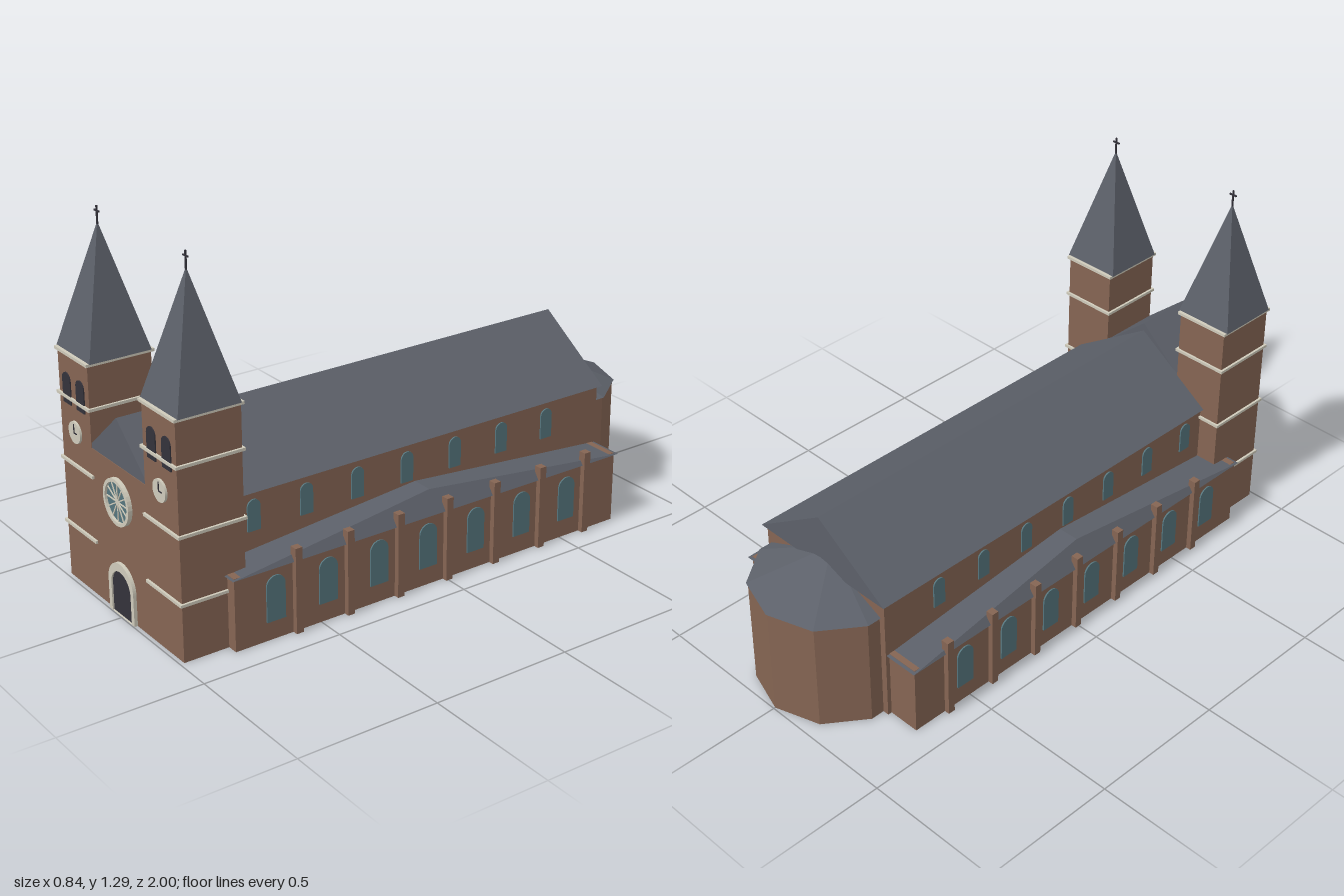
import * as THREE from 'three';

const material = (name, color) => {
  const m = new THREE.MeshStandardMaterial({ color });
  m.name = name;
  return m;
};

export function createModel() {
  const model = new THREE.Group();
  model.name = 'church';
  const brick = material('brick', 0x856553);
  const slate = material('slate', 0x5c6069);
  const stone = material('pale stone', 0xcfcbbb);
  const glass = material('window glass', 0x55757d);
  const dark = material('dark openings', 0x34323b);

  const add = (name, geometry, mat, x = 0, y = 0, z = 0, parent = model) => {
    const mesh = new THREE.Mesh(geometry, mat);
    mesh.name = name;
    mesh.position.set(x, y, z);
    parent.add(mesh);
    return mesh;
  };
  // Box given by its limits on each axis
  const box = (name, mat, x0, x1, y0, y1, z0, z1, parent) =>
    add(name, new THREE.BoxGeometry(x1 - x0, y1 - y0, z1 - z0), mat,
      (x0 + x1) / 2, (y0 + y1) / 2, (z0 + z1) / 2, parent);
  const extrude = (shape, depth) =>
    new THREE.ExtrudeGeometry(shape, { depth, bevelEnabled: false, curveSegments: 16 });
  // Round-headed outline standing on y = 0
  const arch = (width, height, Type = THREE.Shape) => {
    const r = width / 2;
    const s = new Type();
    s.moveTo(-r, 0);
    s.lineTo(r, 0);
    s.lineTo(r, height - r);
    s.absarc(0, height - r, r, 0, Math.PI, false);
    s.lineTo(-r, 0);
    return s;
  };
  // Triangular prism running along z
  const gable = (half, height, length) => {
    const s = new THREE.Shape();
    s.moveTo(-half, 0);
    s.lineTo(half, 0);
    s.lineTo(0, height);
    s.closePath();
    return extrude(s, length);
  };

  const front = 0.985, back = 0.755, towerZ = 0.87, towerX = 0.264;

  // Nave and its roof
  box('nave walls', brick, -0.283, 0.283, 0, 0.466, -0.755, 0.76);
  add('nave roof', gable(0.296, 0.196, 1.528), slate, 0, 0.465, -0.768);

  // Aisles with a low hipped roof whose short ridge runs across
  box('aisle walls', brick, -0.4, 0.4, 0, 0.255, -0.74, 0.822);
  const hip = new THREE.BoxGeometry(0.82, 0.07, 1.584);
  const hp = hip.attributes.position;
  for (let i = 0; i < hp.count; i++) {
    if (hp.getY(i) > 0) {
      hp.setX(i, Math.sign(hp.getX(i)) * 0.36);
      hp.setZ(i, 0);
    }
  }
  const hipFlat = hip.toNonIndexed();
  hipFlat.computeVertexNormals();
  add('aisle roof', hipFlat, slate, 0, 0.287, 0.04);

  // Polygonal apse
  const apseWall = new THREE.CylinderGeometry(0.274, 0.274, 0.4, 10).toNonIndexed();
  apseWall.computeVertexNormals();
  add('apse wall', apseWall, brick, 0, 0.2, -0.72).rotation.y = Math.PI;
  const apseCone = new THREE.ConeGeometry(0.28, 0.12, 10).toNonIndexed();
  apseCone.computeVertexNormals();
  add('apse roof', apseCone, slate, 0, 0.461, -0.72).rotation.y = Math.PI;

  // Buttresses and side windows, mirrored
  const aisleWindow = extrude(arch(0.07, 0.158), 0.005);
  const upperWindow = extrude(arch(0.048, 0.108), 0.005);
  for (const side of [-1, 1]) {
    for (let i = 0; i < 7; i++) {
      add('buttress', new THREE.BoxGeometry(0.028, 0.3, 0.026), brick,
        side * 0.405, 0.15, 0.594 - i * 0.199);
      const z = 0.672 - i * 0.199;
      add('aisleWindow', aisleWindow, glass, side * 0.4, 0.066, z).rotation.y = side * Math.PI / 2;
      add('upperWindow', upperWindow, glass, side * 0.283, 0.33, z).rotation.y = side * Math.PI / 2;
    }
  }

  // West front between the towers
  box('facade wall', brick, -0.168, 0.168, 0, 0.53, back, front);
  add('facade gable', gable(0.186, 0.162, 0.225), slate, 0, 0.53, back + 0.003);

  // Twin towers
  const spire = new THREE.ConeGeometry(0.1085 * Math.SQRT2, 0.42, 4).toNonIndexed();
  spire.rotateY(Math.PI / 4);
  spire.computeVertexNormals();
  spire.scale(1, 1, 1.03);
  const belfry = extrude(arch(0.051, 0.107), 0.004);
  for (const side of [-1, 1]) {
    const tower = new THREE.Group();
    tower.name = side < 0 ? 'rightTower' : 'leftTower';
    tower.position.x = side * towerX;
    model.add(tower);
    box('tower walls', brick, -0.097, 0.097, 0, 0.812, back, front, tower);
    for (const y of [0.2, 0.43, 0.66, 0.812]) {
      add('string course', new THREE.BoxGeometry(0.21, 0.01, 0.246), stone, 0, y, towerZ, tower);
    }
    add('spire', spire, slate, 0, 1.026, towerZ, tower);
    add('cross upright', new THREE.BoxGeometry(0.005, 0.06, 0.005), dark, 0, 1.257, towerZ, tower);
    add('cross arm', new THREE.BoxGeometry(0.028, 0.005, 0.005), dark, 0, 1.27, towerZ, tower);
    for (const x of [-0.044, 0.044]) {
      add('belfry opening', belfry, dark, x, 0.636, front, tower);
    }
    // Clock
    const face = new THREE.CylinderGeometry(0.038, 0.038, 0.008, 32).rotateX(Math.PI / 2);
    add('clock face', face, stone, 0, 0.55, front + 0.004, tower);
    box('minute hand', dark, -0.002, 0.002, 0.548, 0.58, front + 0.007, front + 0.01, tower);
    box('hour hand', dark, -0.002, 0.018, 0.548, 0.552, front + 0.007, front + 0.01, tower);
  }

  // Rose window: glass, rim, hub and twelve bars
  const rose = new THREE.Group();
  rose.name = 'roseWindow';
  rose.position.set(0, 0.408, front);
  model.add(rose);
  add('rose glass', new THREE.CylinderGeometry(0.072, 0.072, 0.006, 40).rotateX(Math.PI / 2),
    glass, 0, 0, 0.003, rose);
  const rim = new THREE.Shape().absarc(0, 0, 0.08, 0, Math.PI * 2, false);
  rim.holes.push(new THREE.Path().absarc(0, 0, 0.068, 0, Math.PI * 2, true));
  add('rose rim', extrude(rim, 0.015), stone, 0, 0, 0, rose);
  add('rose hub', new THREE.CylinderGeometry(0.01, 0.01, 0.01, 20).rotateX(Math.PI / 2),
    stone, 0, 0, 0.005, rose);
  for (let i = 0; i < 6; i++) {
    add('rose bar', new THREE.BoxGeometry(0.004, 0.14, 0.005), stone, 0, 0, 0.0065, rose)
      .rotation.z = i * Math.PI / 6;
  }

  // Portal
  const surround = arch(0.157, 0.189);
  surround.holes.push(arch(0.122, 0.16, THREE.Path));
  add('door surround', extrude(surround, 0.012), stone, 0, 0.001, front);
  add('door', extrude(arch(0.124, 0.161), 0.006), dark, 0, 0.001, front);

  return model;
}
